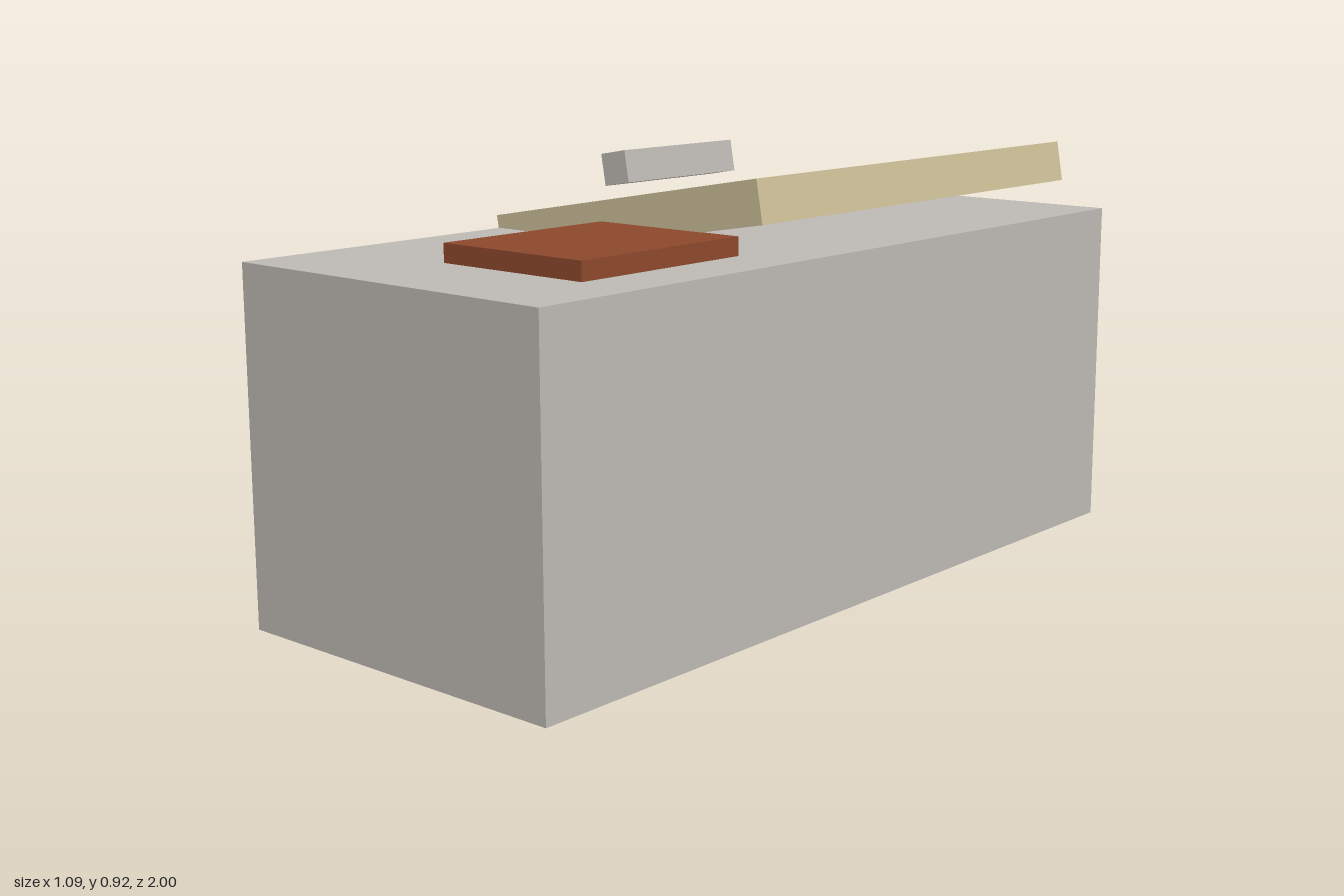
import * as THREE from 'three';

export function createModel() {
  const stone = new THREE.MeshStandardMaterial({ color: 0xbcb8b3 });
  stone.name = 'grey';
  const tan = new THREE.MeshStandardMaterial({ color: 0xcbbe97 });
  tan.name = 'tan';
  const rust = new THREE.MeshStandardMaterial({ color: 0x8c482c });
  rust.name = 'rust';

  const model = new THREE.Group();
  model.name = 'chest';
  const tilt = THREE.MathUtils.degToRad(10);

  const box = (name, size, position, material, roll = 0) => {
    const mesh = new THREE.Mesh(new THREE.BoxGeometry(...size), material);
    mesh.name = name;
    mesh.position.set(...position);
    mesh.rotation.z = roll;
    model.add(mesh);
  };

  // Solid body
  box('body', [0.833, 0.76, 1.9], [0, 0.38, 0], stone);
  // Tilted lid, its low edge sunk into the body
  box('lid', [0.761, 0.093, 1.14], [-0.042, 0.808, -0.316], tan, tilt);
  // Bar hovering over the low edge of the lid
  box('handle', [0.075, 0.075, 0.379], [-0.355, 0.874, -0.246], stone, tilt);
  // Flat plate in front of the lid
  box('plate', [0.378, 0.04, 0.45], [0.086, 0.78, 0.475], rust);

  // The whole piece stands slightly turned
  model.rotation.y = THREE.MathUtils.degToRad(8);
  const root = new THREE.Group();
  root.add(model);
  return root;
}
